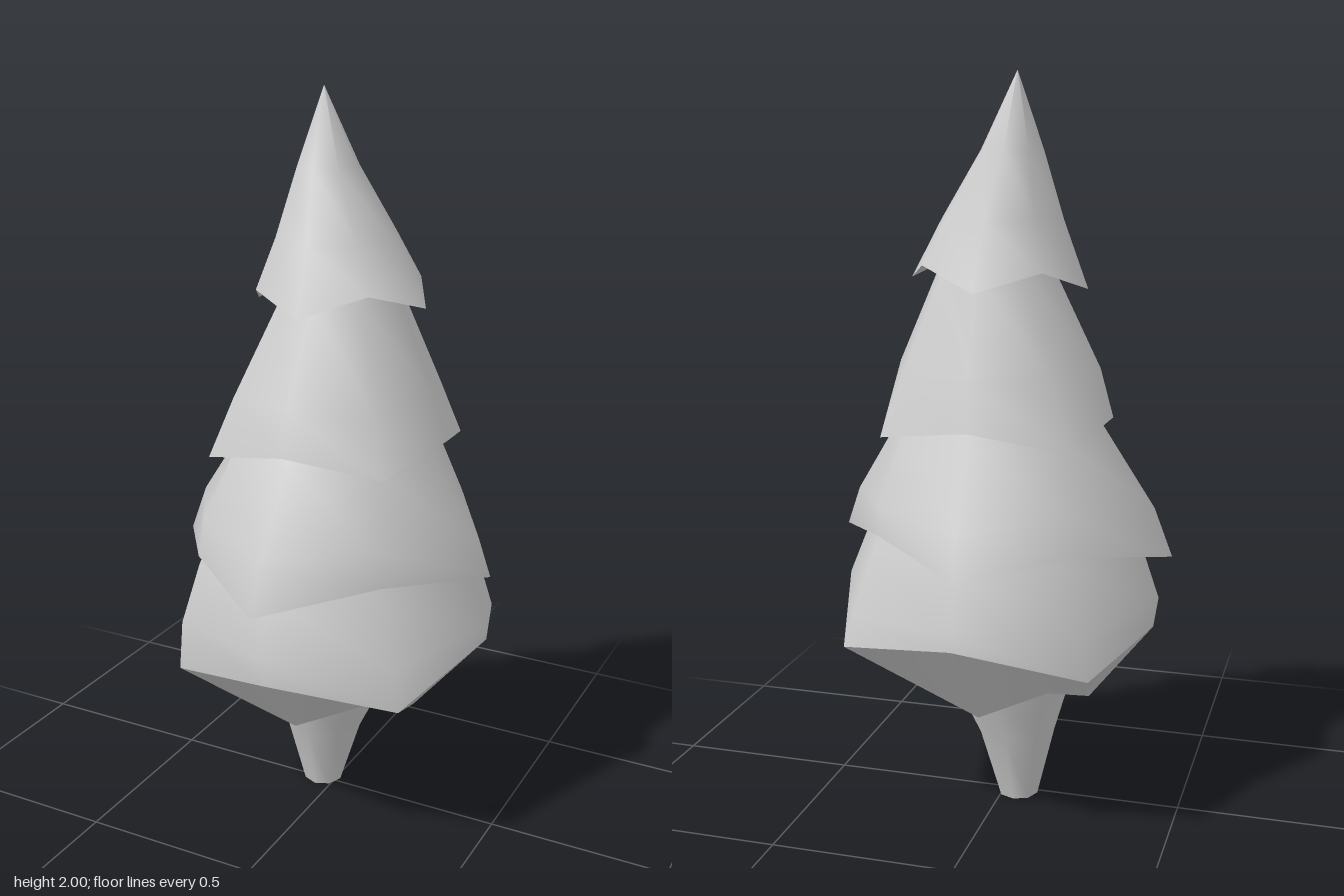
import * as THREE from 'three';

const SIDES = 8;
const material = new THREE.MeshStandardMaterial({ color: 0xcccccc });

// One octagonal ring: centre, radius and height at the four cardinal corners (r, y)
// and the four diagonal corners (rd, yd), with a slight tilt along x and z.
const ring = (cx, cz, r, y, rd = r, yd = y, tx = 0, tz = 0) => ({ cx, cz, r, y, rd, yd, tx, tz });

// Smooth skin through rings listed from the outside top downwards.
function loft(name, rings, capped = false) {
  const pos = [], index = [];
  for (const k of rings) {
    for (let i = 0; i < SIDES; i++) {
      const a = (i / SIDES) * Math.PI * 2;
      const r = i % 2 ? k.rd : k.r;
      const x = k.cx + r * Math.sin(a), z = k.cz + r * Math.cos(a);
      pos.push(x, (i % 2 ? k.yd : k.y) + k.tx * x + k.tz * z, z);
    }
  }
  for (let j = 0; j < rings.length - 1; j++) {
    for (let i = 0; i < SIDES; i++) {
      const n = (i + 1) % SIDES;
      const a = j * SIDES + i, b = a + SIDES, c = (j + 1) * SIDES + n, d = j * SIDES + n;
      if (rings[j].r > 0) index.push(a, c, d);
      index.push(a, b, c);
    }
  }
  const geo = new THREE.BufferGeometry();
  geo.setAttribute('position', new THREE.Float32BufferAttribute(pos, 3));
  geo.setIndex(index);
  geo.computeVertexNormals();
  const mesh = new THREE.Mesh(geo, material);
  mesh.name = name;
  if (capped) {
    const e = rings[rings.length - 1];
    const cap = new THREE.Mesh(new THREE.CircleGeometry(e.r, SIDES), material);
    cap.name = name + 'Base';
    cap.rotation.x = Math.PI / 2;
    cap.position.set(e.cx, e.y, e.cz);
    mesh.add(cap);
  }
  return mesh;
}

export function createModel() {
  const tree = new THREE.Group();
  tree.name = 'pineTree';

  // Zigzag hems of the tiers, top to bottom
  const hems = [
    ring(0.02, 0.004, 0.245, 1.45, 0.227, 1.503, 0.04, 0.02),
    ring(0.02, 0.013, 0.316, 1.108, 0.358, 1.063, 0.03, 0.03),
    ring(0, 0, 0.466, 0.742, 0.385, 0.79, 0.028, -0.028),
    ring(0.02, -0.005, 0.44, 0.547, 0.468, 0.48, 0.045, -0.045),
  ];
  // Upper rings of each tier
  const tops = [
    [ring(-0.038, -0.02, 0, 2), ring(-0.022, -0.012, 0.085, 1.8), ring(0.008, -0.002, 0.168, 1.62, 0.165, 1.63)],
    [ring(0.025, 0, 0.12, 1.56), ring(0.025, 0, 0.165, 1.48), ring(0.022, 0.013, 0.282, 1.23, 0.29, 1.22)],
    [ring(0.015, 0, 0.2, 1.2), ring(0.015, 0.004, 0.285, 1.08), ring(0.008, 0.003, 0.423, 0.86, 0.375, 0.885)],
    [ring(0.01, 0, 0.33, 0.88), ring(0.01, 0, 0.392, 0.755), ring(0.015, 0, 0.447, 0.61, 0.45, 0.59)],
  ];
  hems.forEach((hem, i) => {
    const tier = new THREE.Group();
    tier.name = 'foliageTier' + (i + 1);
    tier.add(loft('foliage', [...tops[i], hem]));
    // Recessed underside, hidden at its inner edge by the tier beneath
    if (i < 3) {
      const inner = { ...hem, r: hem.r * 0.55, rd: hem.rd * 0.55, y: hem.yd + 0.04, yd: hem.yd + 0.04 };
      if (i === 1) inner.y = inner.yd = hem.y + 0.03;
      tier.add(loft('underside', [hem, inner]));
    }
    tree.add(tier);
  });

  // Lowest branches, tapering in to a ragged skirt around the trunk
  const skirtHem = ring(0.003, -0.008, 0.247, 0.312, 0.243, 0.375, 0.02, -0.02);
  const skirt = new THREE.Group();
  skirt.name = 'lowerSkirt';
  skirt.add(loft('skirt', [hems[3], skirtHem]));
  skirt.add(loft('underside', [skirtHem, ring(-0.01, -0.01, 0.13, 0.42)]));
  tree.add(skirt);

  // Trunk, flaring upwards from a narrow foot
  tree.add(loft('trunk', [
    ring(-0.015, -0.01, 0.2, 0.44),
    ring(-0.02, -0.012, 0.17, 0.35),
    ring(-0.035, -0.014, 0.112, 0.2),
    ring(-0.043, -0.016, 0.056, 0),
  ], true));

  return tree;
}
